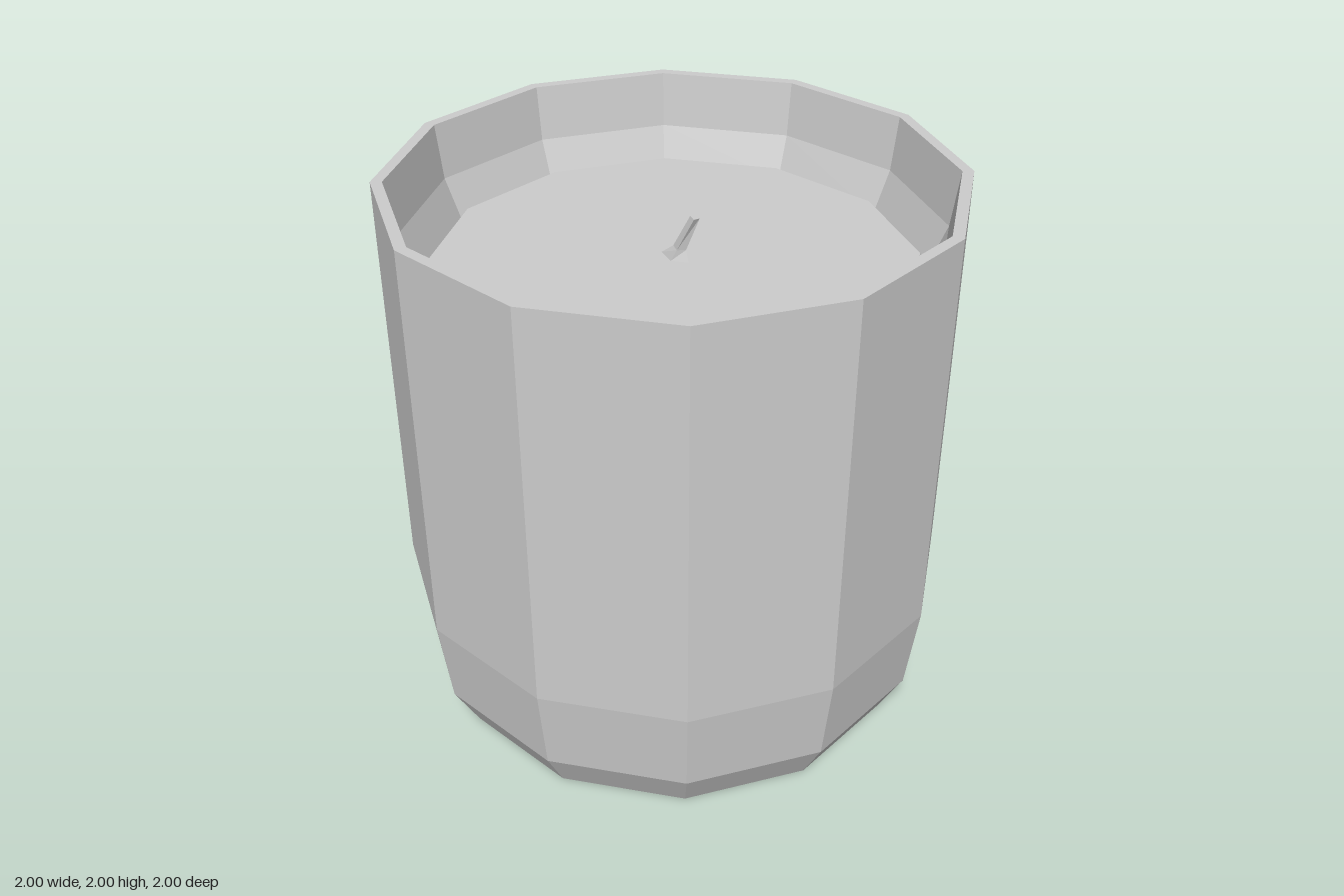
import * as THREE from 'three';

const SIDES = 12;
const material = new THREE.MeshStandardMaterial({ color: 0xcccccc, flatShading: true });

function lathe(name, profile) {
  const points = profile.map(([r, y]) => new THREE.Vector2(r, y));
  const mesh = new THREE.Mesh(new THREE.LatheGeometry(points, SIDES), material);
  mesh.name = name;
  return mesh;
}

// Joins rings of [x, z] corners, listed counter-clockwise from above, and caps the top
function loft(name, rings) {
  const n = rings[0].corners.length;
  const positions = rings.flatMap(({ y, corners }) => corners.flatMap(([x, z]) => [x, y, z]));
  const index = [];
  for (let r = 0; r < rings.length - 1; r++) {
    for (let i = 0; i < n; i++) {
      const a = r * n + i, b = r * n + (i + 1) % n;
      index.push(a, b, b + n, a, b + n, a + n);
    }
  }
  const top = (rings.length - 1) * n;
  for (let i = 1; i < n - 1; i++) index.push(top, top + i, top + i + 1);
  const geometry = new THREE.BufferGeometry();
  geometry.setAttribute('position', new THREE.Float32BufferAttribute(positions, 3));
  geometry.setIndex(index);
  geometry.computeVertexNormals();
  const mesh = new THREE.Mesh(geometry, material);
  mesh.name = name;
  return mesh;
}

export function createModel() {
  const group = new THREE.Group();
  group.name = 'candle';

  // Jar: base, rounded foot, straight wall, rim and inner wall
  group.add(lathe('jar', [
    [0, 0], [0.87, 0], [0.96, 0.17], [1, 0.5], [1, 2],
    [0.96, 2], [0.935, 1.8], [0.87, 1.64],
  ]));

  // Wax: flat top with a bevelled edge
  group.add(lathe('wax', [[0.87, 1.64], [0.845, 1.7], [0, 1.7]]));

  // Wick: wide foot, thin stem leaning to the left
  group.add(loft('wick', [
    { y: 1.7, corners: [[-0.06, -0.02], [0, 0.025], [0.06, 0.01], [0, -0.035]] },
    { y: 1.74, corners: [[-0.01, -0.012], [0.018, 0.016], [0.045, 0], [0.015, -0.028]] },
    { y: 1.865, corners: [[0.055, -0.01], [0.08, 0.012], [0.092, -0.008], [0.07, -0.022]] },
  ]));

  return group;
}
